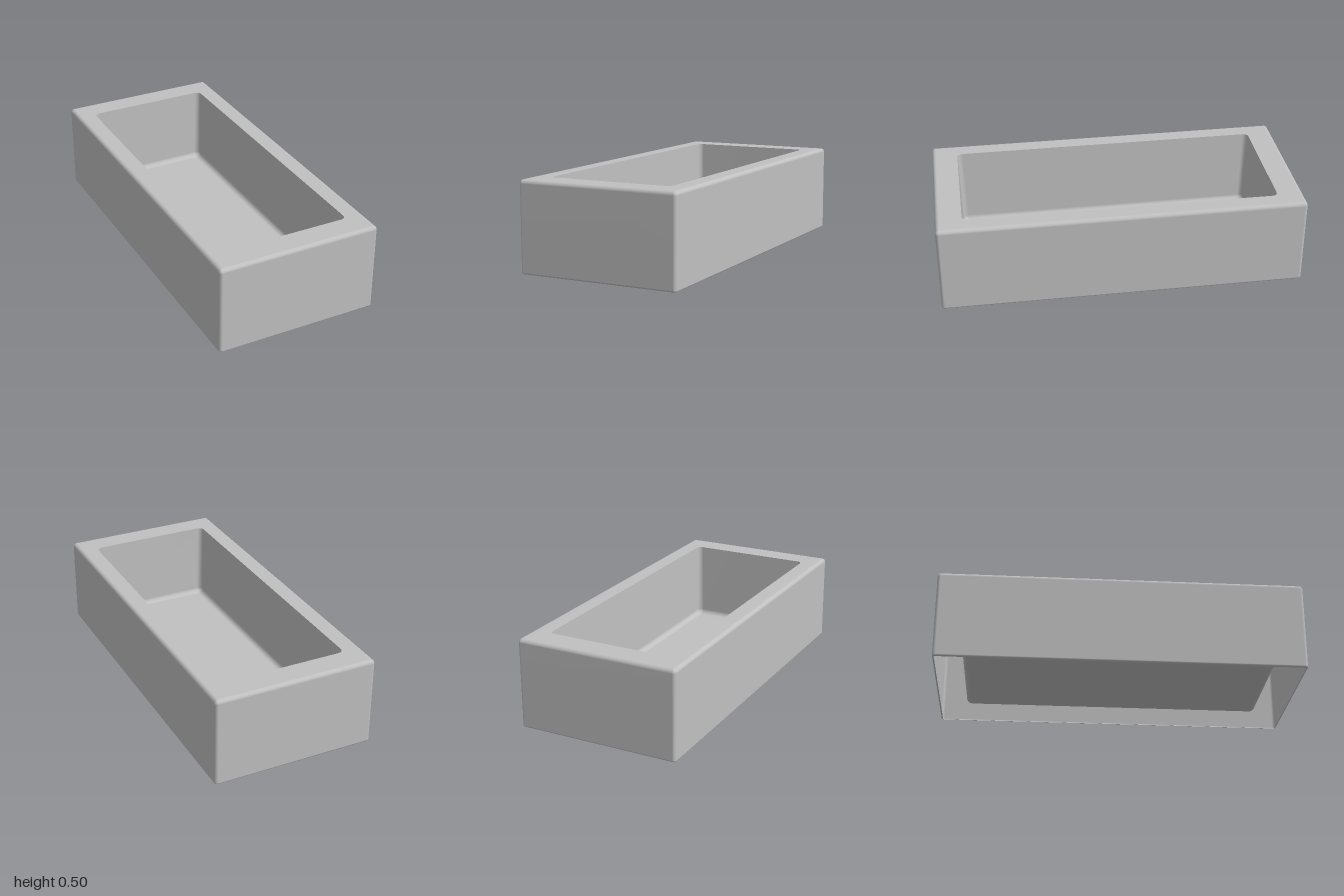
import * as THREE from 'three';

const CORNER_STEPS = 4;

// Rounded rectangle in the xz plane: half sizes hx, hz, corner radius r, height y
function ring(hx, hz, r, y) {
  const pts = [];
  [[1, 1], [-1, 1], [-1, -1], [1, -1]].forEach(([sx, sz], q) => {
    for (let k = 0; k <= CORNER_STEPS; k++) {
      const a = (q + k / CORNER_STEPS) * Math.PI / 2;
      pts.push(sx * (hx - r) + r * Math.cos(a), y, sz * (hz - r) + r * Math.sin(a));
    }
  });
  return pts;
}

// Skin joining consecutive rings
function skin(rings) {
  const n = rings[0].length / 3;
  const index = [];
  for (let i = 0; i < rings.length - 1; i++) {
    for (let j = 0; j < n; j++) {
      const k = (j + 1) % n;
      const a = i * n + j, b = i * n + k, c = a + n, d = b + n;
      index.push(a, c, b, b, c, d);
    }
  }
  const geo = new THREE.BufferGeometry();
  geo.setAttribute('position', new THREE.Float32BufferAttribute(rings.flat(), 3));
  geo.setIndex(index);
  geo.computeVertexNormals();
  return geo;
}

export function createModel() {
  const group = new THREE.Group();
  const grey = new THREE.MeshStandardMaterial({ color: 0xc0c0c0, side: THREE.DoubleSide });
  grey.name = 'lightGrey';

  const HX = 0.455, HZ = 1, TOP = 0.497;
  const OX = 0.352, OZ = 0.857, FLOOR = 0.055;
  const STEPS = 5;
  const quarter = (fn) => {
    for (let i = 0; i <= STEPS; i++) fn(i / STEPS * Math.PI / 2);
  };

  // Outer shell: turned-in foot, straight walls, rounded top edge, flat rim
  const shell = [];
  const foot = 0.01, edge = 0.022;
  quarter((a) => {
    const d = foot * (1 - Math.sin(a));
    shell.push(ring(HX - d, HZ - d, 0.018 - d, foot * (1 - Math.cos(a))));
  });
  quarter((a) => {
    const d = edge * (1 - Math.cos(a));
    shell.push(ring(HX - d, HZ - d, Math.max(0.018 - d, 0.002), TOP - edge * (1 - Math.sin(a))));
  });
  shell.push(ring(OX, OZ, 0.03, TOP));
  const outer = new THREE.Mesh(skin(shell), grey);
  outer.name = 'outerShell';

  // Basin: slightly tapered walls, rounded into a flat floor
  const basin = [ring(OX, OZ, 0.03, TOP)];
  const cove = 0.03, taper = 0.008;
  quarter((a) => {
    const d = taper + cove * (1 - Math.cos(a));
    basin.push(ring(OX - d, OZ - d, 0.032 - (d - taper), FLOOR + cove * (1 - Math.sin(a))));
  });
  basin.push(ring(0, 0.5, 0, FLOOR));
  const inner = new THREE.Mesh(skin(basin), grey);
  inner.name = 'basin';

  group.add(outer, inner);
  return group;
}
